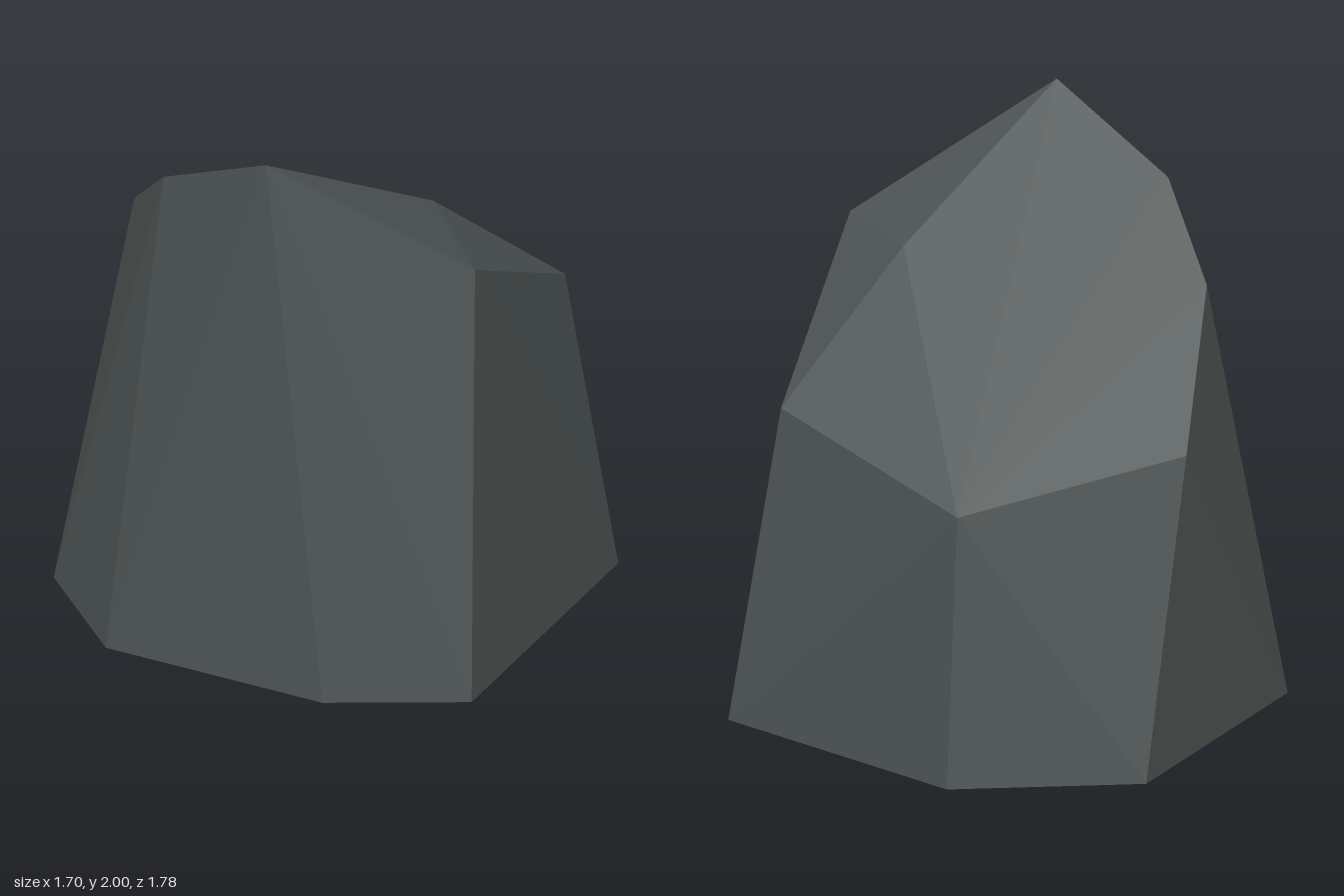
import * as THREE from 'three';
import { ConvexGeometry } from 'three/addons/geometries/ConvexGeometry.js';

export function createModel() {
  const rock = new THREE.Group();
  rock.name = 'rock';

  const stone = new THREE.MeshStandardMaterial({ color: 0x4d5453 });
  stone.name = 'dark grey stone';

  // footprint on the ground, as x, z
  const base = [
    [-0.11, -0.89], [0.85, -0.49], [0.85, 0.66], [0.39, 0.89],
    [-0.46, 0.85], [-0.85, 0.46], [-0.73, -0.59],
  ].map(([x, z]) => new THREE.Vector3(x, 0, z));

  // rim of the sloping top, as x, y, z
  const rim = [
    [0.14, 2, 0.82], [0.76, 1.56, 0.45], [0.69, 1.13, -0.4], [-0.11, 0.96, -0.79],
    [-0.71, 1.05, -0.15], [-0.59, 1.49, 0.36], [-0.34, 1.76, 0.64],
  ].map((p) => new THREE.Vector3(...p));

  // slight bulge within the top
  const bulge = new THREE.Vector3(0.43, 1.59, 0.1);

  // faceted boulder wrapped around the corners
  const boulder = new THREE.Mesh(new ConvexGeometry([...base, ...rim, bulge]), stone);
  boulder.name = 'boulder';
  rock.add(boulder);
  return rock;
}
